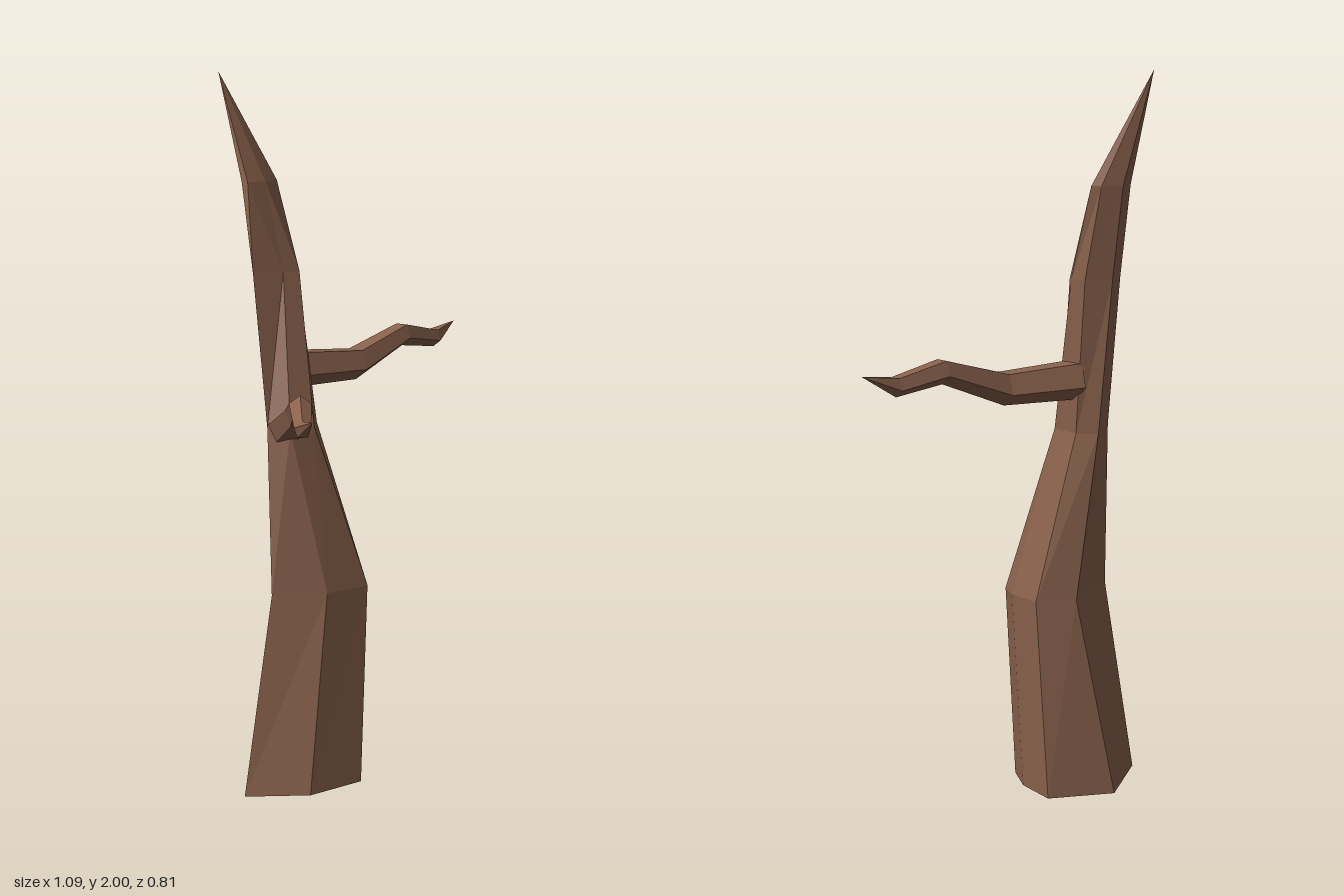
import * as THREE from 'three';

const bark = new THREE.MeshStandardMaterial({ color: 0x8a624d, flatShading: true });
bark.name = 'bark brown';

// Faceted skin over rings of points, closed by a fan at the start and a point at the tip
function loft(name, rings, tip) {
  const pos = [];
  const tri = (...pts) => pts.forEach((p) => pos.push(...p));
  const n = rings[0].length;
  rings.forEach((a, k) => {
    const b = rings[k + 1];
    for (let i = 0; i < n; i++) {
      const j = (i + 1) % n;
      if (b) {
        tri(a[i], a[j], b[j]);
        tri(a[i], b[j], b[i]);
      } else {
        tri(a[i], a[j], tip);
      }
    }
  });
  for (let i = 1; i < n - 1; i++) tri(rings[0][0], rings[0][i + 1], rings[0][i]);
  const geo = new THREE.BufferGeometry();
  geo.setAttribute('position', new THREE.Float32BufferAttribute(pos, 3));
  geo.computeVertexNormals();
  const mesh = new THREE.Mesh(geo, bark);
  mesh.name = name;
  return mesh;
}

// Five-sided upright rings along a path of [x, y, z, radius]
function branch(name, path, tip, phase) {
  const stops = [...path, tip];
  const rings = path.map(([x, y, z, r], k) => {
    const p = stops[Math.max(k - 1, 0)], q = stops[k + 1];
    const d = new THREE.Vector2(q[0] - p[0], q[2] - p[2]).normalize();
    return Array.from({ length: 5 }, (_, i) => {
      const a = phase + (i * Math.PI * 2) / 5;
      const c = Math.cos(a) * r;
      return [x + d.y * c, y + Math.sin(a) * r, z - d.x * c];
    });
  });
  return loft(name, rings, tip);
}

export function createModel() {
  const group = new THREE.Group();
  group.name = 'deadTree';

  // Trunk: six-sided sections [height, x z pairs], leaning back to a spike
  const sections = [
    [0, [-0.4, -0.12], [-0.25, -0.013], [-0.07, -0.013], [-0.04, -0.115], [-0.05, -0.24], [-0.235, -0.29]],
    [0.565, [-0.3, -0.12], [-0.165, -0.043], [-0.02, -0.045], [0, -0.12], [-0.02, -0.22], [-0.125, -0.26]],
    [1.03, [-0.277, -0.165], [-0.235, -0.115], [-0.155, -0.112], [-0.11, -0.16], [-0.125, -0.25], [-0.175, -0.285]],
    [1.45, [-0.263, -0.245], [-0.165, -0.238], [-0.11, -0.237], [-0.107, -0.25], [-0.12, -0.3], [-0.19, -0.325]],
    [1.7, [-0.252, -0.31], [-0.248, -0.287], [-0.185, -0.292], [-0.122, -0.325], [-0.14, -0.347], [-0.195, -0.365]],
  ];
  const rings = sections.map(([y, ...pts]) => pts.map(([x, z]) => [x, y, z]));
  group.add(loft('trunk', rings, [-0.26, 2, -0.405]));

  // Side branch
  group.add(branch('leftBranch', [
    [-0.13, 1.178, -0.238, 0.057],
    [0.09, 1.17, -0.238, 0.048],
    [0.29, 1.234, -0.273, 0.035],
    [0.435, 1.208, -0.3, 0.028],
  ], [0.545, 1.245, -0.335], -Math.PI / 2));

  // Forward branch
  group.add(branch('rightBranch', [
    [-0.23, 1.025, -0.148, 0.05],
    [-0.27, 1.088, -0.025, 0.041],
    [-0.395, 1.147, 0.15, 0.031],
    [-0.495, 1.118, 0.295, 0.023],
  ], [-0.548, 1.16, 0.408], Math.PI / 2));

  return group;
}
